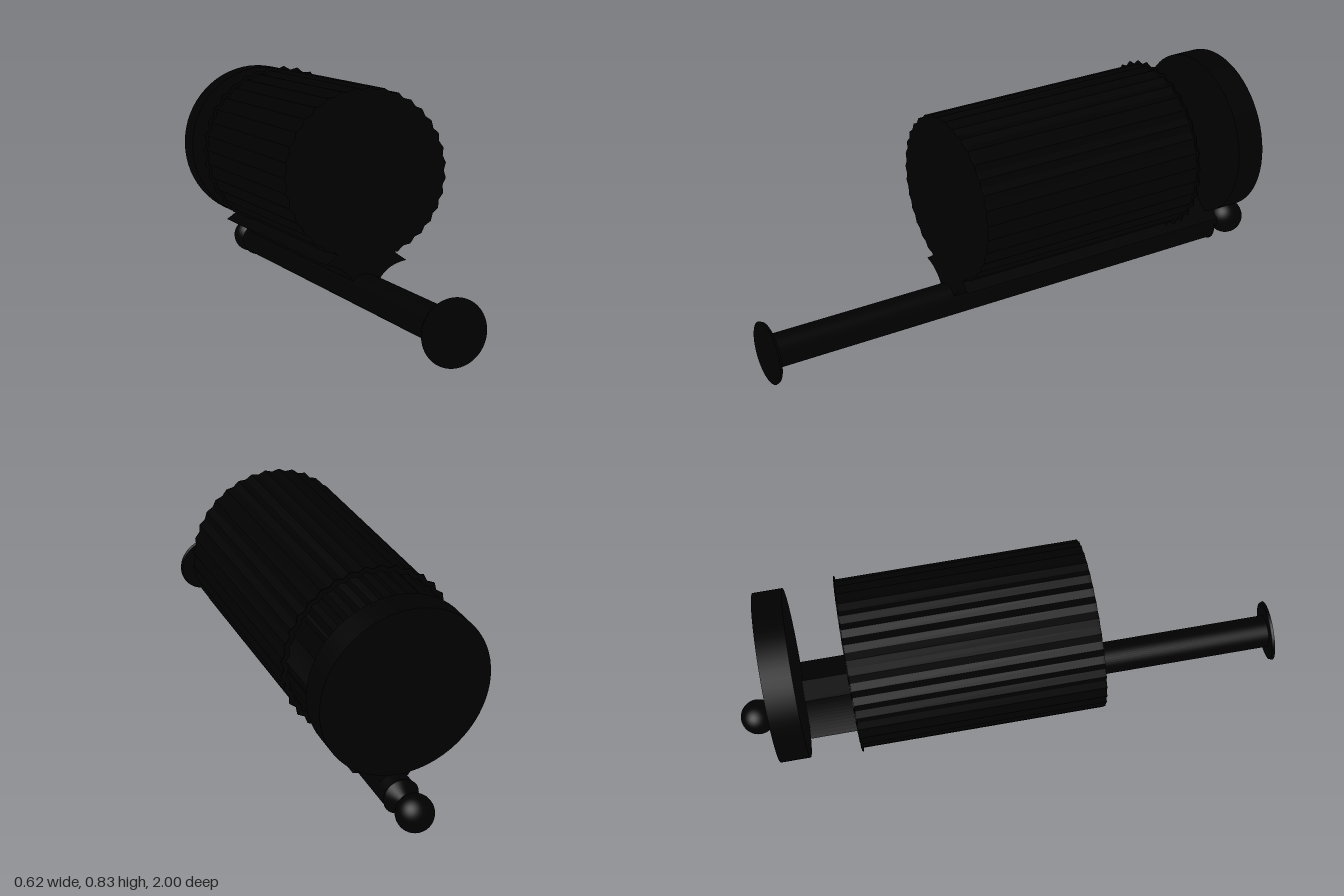
import * as THREE from 'three';

const black = new THREE.MeshStandardMaterial({ color: 0x000000 });
black.name = 'black';

const DRUM_Y = 0.517, ROD_Y = 0.113, TEETH = 35;

// Closed counter-clockwise outline alternating between ridge and groove radii
function ridgePoints(outer, inner) {
  const points = [];
  for (let i = 0; i < TEETH * 2; i++) {
    const a = (i + 1) * Math.PI / TEETH;
    const r = i % 2 ? inner : outer;
    points.push(new THREE.Vector2(Math.cos(a) * r, Math.sin(a) * r));
  }
  return points;
}

// Extrude a shape between two z positions
function prism(shape, z0, z1) {
  return new THREE.ExtrudeGeometry(shape, { depth: z1 - z0, bevelEnabled: false })
    .translate(0, 0, z0);
}

// Ridged tube with a ridged bore
function ridgedTube(outer, inner, z0, z1) {
  const shape = new THREE.Shape(ridgePoints(outer, inner));
  shape.holes.push(new THREE.Path(ridgePoints(0.292, 0.282).reverse()));
  return prism(shape, z0, z1);
}

// Profile points are [radius, z], ordered from back to front
function turned(profile) {
  const points = profile.map(([r, z]) => new THREE.Vector2(r, z));
  return new THREE.LatheGeometry(points, 48).rotateX(Math.PI / 2);
}

export function createModel() {
  const model = new THREE.Group();
  model.name = 'drumOnRod';

  function add(name, geometry, y = 0, z = 0) {
    const mesh = new THREE.Mesh(geometry, black);
    mesh.name = name;
    mesh.position.set(0, y, z);
    model.add(mesh);
  }

  // Ridged drum: hollow wall, closed front and a thin wider rim at the open back
  add('drumWall', ridgedTube(0.299, 0.29, -0.56, 0.29), DRUM_Y);
  add('drumFront', prism(new THREE.Shape(ridgePoints(0.299, 0.29)), 0.29, 0.3), DRUM_Y);
  add('drumRim', ridgedTube(0.312, 0.3, -0.564, -0.56), DRUM_Y);

  // Round end plate standing behind the drum
  add('endPlate', new THREE.CylinderGeometry(0.3, 0.3, 0.105, 64).rotateX(Math.PI / 2), 0.514, -0.7975);

  // Cradle joining drum, plate and rod, with pointed side wings
  const cradle = new THREE.Shape();
  cradle.moveTo(0.15, 0.21);
  cradle.quadraticCurveTo(0.08, 0.255, 0.04, 0.31);
  cradle.lineTo(-0.04, 0.31);
  cradle.quadraticCurveTo(-0.08, 0.255, -0.15, 0.21);
  cradle.quadraticCurveTo(-0.08, 0.2, -0.05, 0.15);
  cradle.lineTo(0.05, 0.15);
  cradle.quadraticCurveTo(0.08, 0.2, 0.15, 0.21);
  add('cradle', prism(cradle, -0.78, 0.3));

  // Long rod with a tapered collar at the back
  add('rod', new THREE.CylinderGeometry(0.06, 0.06, 1.82, 48).rotateX(Math.PI / 2), ROD_Y, 0.085);
  add('rodCollar', turned([[0, -0.89], [0.026, -0.88], [0.03, -0.865], [0.064, -0.835], [0.052, -0.815], [0, -0.815]]), ROD_Y);
  add('rodBall', new THREE.SphereGeometry(0.065, 32, 24), ROD_Y, -0.935);

  // Thin round flange at the front
  add('flange', new THREE.CylinderGeometry(0.112, 0.108, 0.01, 64).rotateX(Math.PI / 2), ROD_Y, 0.995);

  return model;
}
